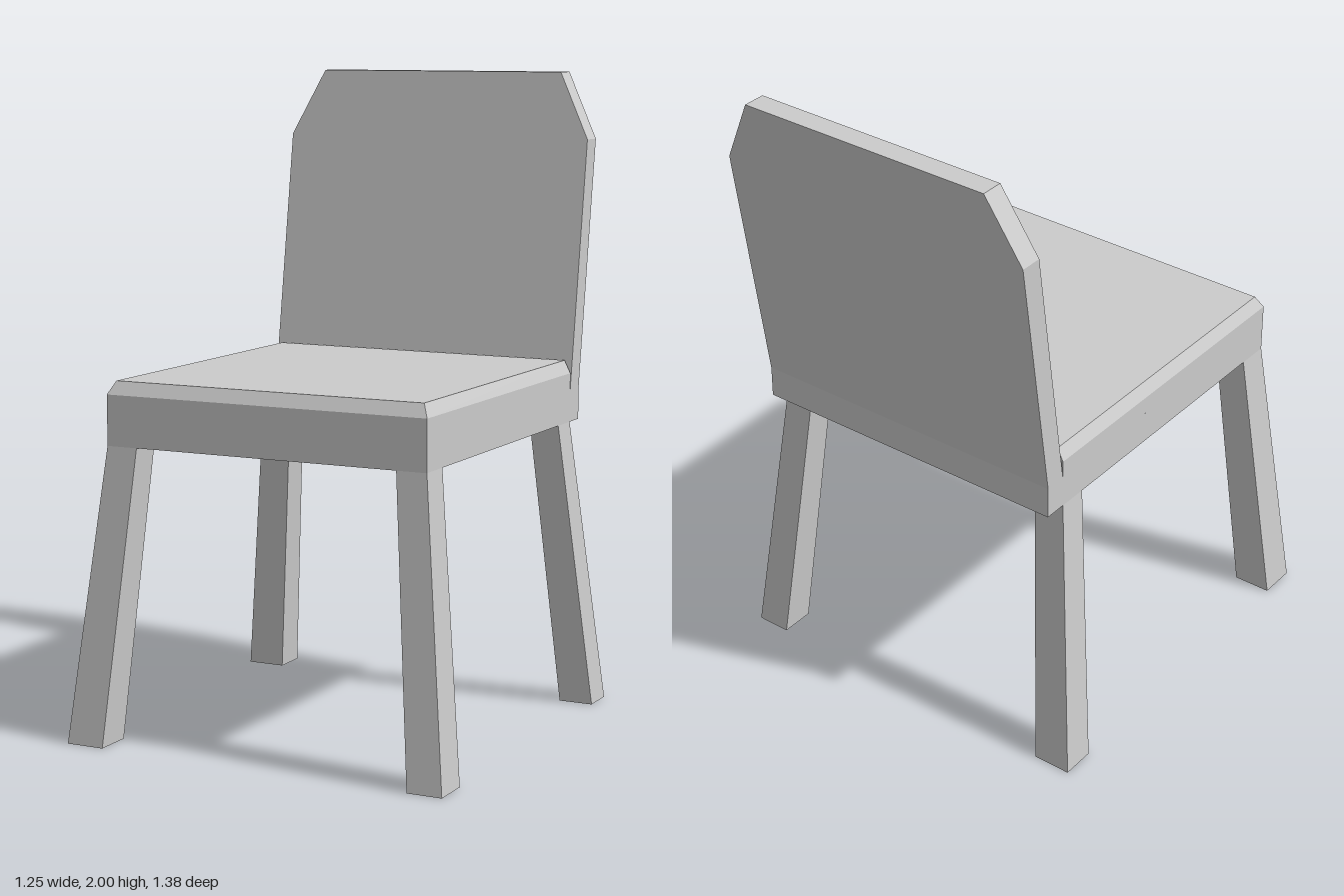
import * as THREE from 'three';

const material = new THREE.MeshStandardMaterial({ color: 0xcccccc, flatShading: true });

// Closed solid through rectangular sections [y, x0, x1, z0, z1], listed bottom to top.
function loft(name, sections) {
  const rings = sections.map(([y, x0, x1, z0, z1]) => [
    new THREE.Vector3(x0, y, z0),
    new THREE.Vector3(x0, y, z1),
    new THREE.Vector3(x1, y, z1),
    new THREE.Vector3(x1, y, z0),
  ]);
  const points = [];
  const addTriangle = (a, b, c) => {
    if (new THREE.Triangle(a, b, c).getArea() > 1e-6) points.push(a, b, c);
  };
  const addQuad = (a, b, c, d) => {
    addTriangle(a, b, c);
    addTriangle(a, c, d);
  };
  for (let k = 0; k < rings.length - 1; k++) {
    for (let i = 0; i < 4; i++) {
      const j = (i + 1) % 4;
      addQuad(rings[k][i], rings[k][j], rings[k + 1][j], rings[k + 1][i]);
    }
  }
  addQuad(...rings[rings.length - 1]);
  addQuad(...[...rings[0]].reverse());

  const geometry = new THREE.BufferGeometry().setFromPoints(points);
  geometry.computeVertexNormals();
  const mesh = new THREE.Mesh(geometry, material);
  mesh.name = name;
  return mesh;
}

export function createModel() {
  const chair = new THREE.Group();
  chair.name = 'chair';

  // Seat: rear ledge carries the backrest, top edges bevelled on front and sides
  chair.add(loft('seat', [
    [0.905, -0.528, 0.526, -0.535, 0.597],
    [1.005, -0.528, 0.526, -0.535, 0.597],
    [1.005, -0.528, 0.526, -0.464, 0.597],
    [1.06, -0.528, 0.526, -0.464, 0.597],
    [1.10, -0.508, 0.506, -0.464, 0.574],
  ]));

  // Backrest: leaning panel with cut top corners
  chair.add(loft('backrest', [
    [1.005, -0.528, 0.526, -0.535, -0.464],
    [1.79, -0.528, 0.526, -0.656, -0.584],
    [2.0, -0.422, 0.42, -0.688, -0.616],
  ]));

  // Legs: splayed outwards, slightly thicker at the floor
  const sides = { left: { foot: [0.51, 0.62], top: [0.43, 0.526] }, right: { foot: [-0.625, -0.503], top: [-0.528, -0.427] } };
  const ends = { front: { foot: [0.568, 0.69], top: [0.494, 0.597] }, back: { foot: [-0.555, -0.446], top: [-0.462, -0.368] } };
  for (const [end, z] of Object.entries(ends)) {
    for (const [side, x] of Object.entries(sides)) {
      const name = end + (side === 'left' ? 'LeftLeg' : 'RightLeg');
      chair.add(loft(name, [
        [0, ...x.foot, ...z.foot],
        [0.905, ...x.top, ...z.top],
      ]));
    }
  }
  return chair;
}
